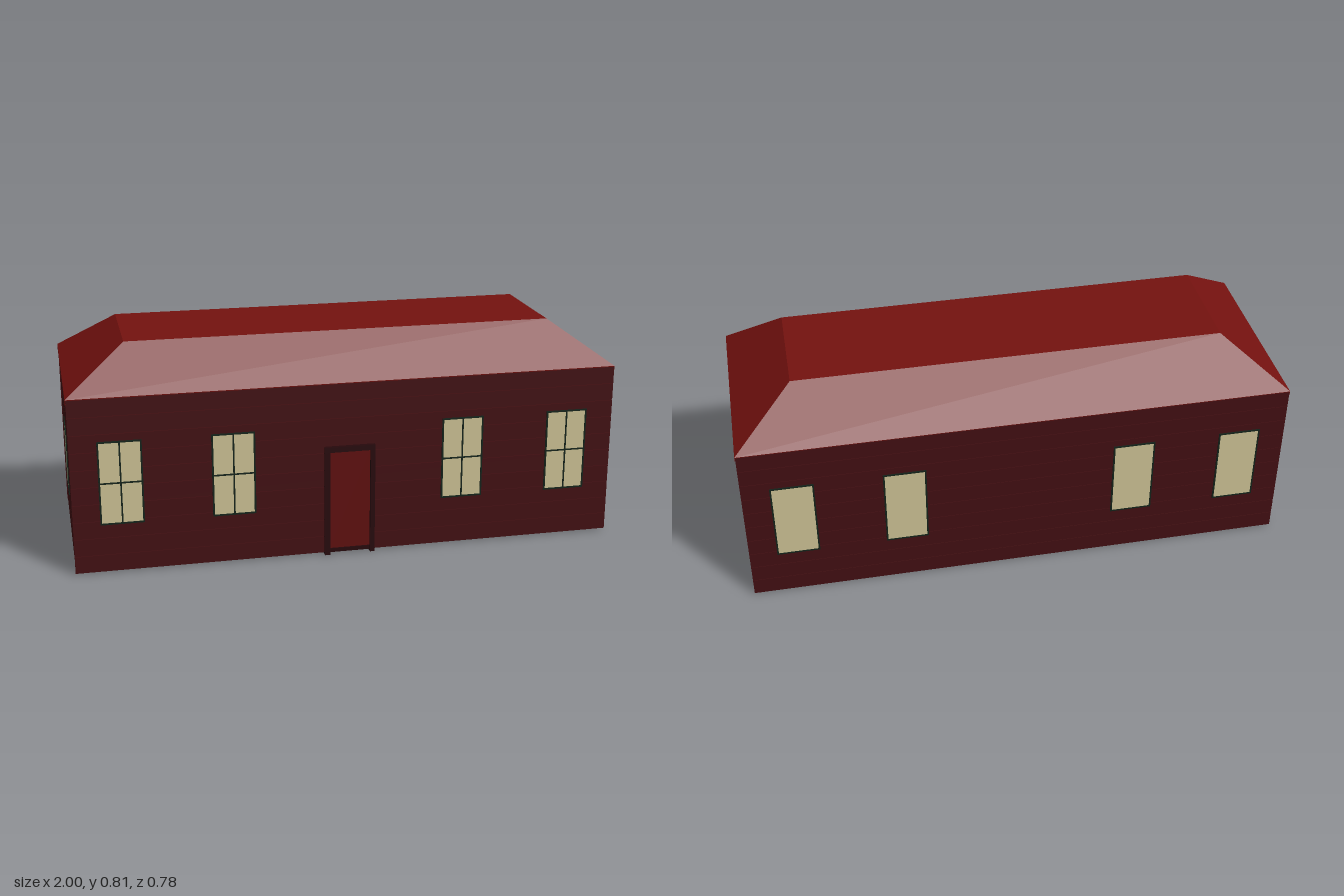
import * as THREE from 'three';

const mat = (color) => new THREE.MeshStandardMaterial({ color, flatShading: true });
const wallMat = mat(0x420f12);
const roofMat = mat(0x75120f);
const doorMat = mat(0x5f0f0e);
const doorFrameMat = mat(0x27090c);
const paneMat = mat(0xcdc295);
const frameMat = mat(0x14231a);

const FRONT = 0.373, BACK = -0.385; // outer faces of the long walls
const T = 0.011;                    // plank thickness

// Box given by its min and max corners
function box(name, material, [x0, y0, z0], [x1, y1, z1]) {
  const mesh = new THREE.Mesh(new THREE.BoxGeometry(x1 - x0, y1 - y0, z1 - z0), material);
  mesh.position.set((x0 + x1) / 2, (y0 + y1) / 2, (z0 + z1) / 2);
  mesh.name = name;
  return mesh;
}

// Horizontal boards with hairline gaps, on all four sides
function buildWalls() {
  const walls = new THREE.Group();
  walls.name = 'plankWalls';
  const rows = 10, pitch = 0.0643, gap = 0.002, base = 0.006;
  for (let i = 0; i < rows; i++) {
    const y0 = base + i * pitch, y1 = y0 + pitch - gap;
    const endTop = Math.min(y1, 0.631);
    walls.add(box('frontPlank', wallMat, [-0.998, y0, FRONT - T], [0.998, y1, FRONT]));
    walls.add(box('backPlank', wallMat, [-0.998, y0, BACK], [0.998, y1, BACK + T]));
    for (const x of [-0.996, 0.996 - T]) {
      walls.add(box('endPlank', wallMat, [x, y0, BACK + T], [x + T, endTop, FRONT - T]));
    }
  }
  return walls;
}

// Hipped roof with a flat top and a short vertical skirt
function buildRoof() {
  const geo = new THREE.BoxGeometry(2, 2, 2, 1, 2, 1);
  const p = geo.attributes.position;
  const levels = [
    { y: 0.631, x: 1, front: 0.369, back: -0.382 },
    { y: 0.65, x: 1, front: 0.371, back: -0.385 },
    { y: 0.805, x: 0.783, front: 0.22, back: -0.19 },
  ];
  for (let i = 0; i < p.count; i++) {
    const l = levels[Math.round(p.getY(i)) + 1];
    p.setXYZ(i, p.getX(i) * l.x, l.y, p.getZ(i) > 0 ? l.front : l.back);
  }
  geo.computeVertexNormals();
  const roof = new THREE.Mesh(geo, roofMat);
  roof.name = 'roof';
  return roof;
}

// Frame with a rectangular opening, centred, extruded along z
function buildFrame(w, h, border, depth, material) {
  const rect = (Ctor, a, b) => new Ctor([
    new THREE.Vector2(-a, -b), new THREE.Vector2(a, -b),
    new THREE.Vector2(a, b), new THREE.Vector2(-a, b),
  ]);
  const shape = rect(THREE.Shape, w / 2, h / 2);
  shape.holes.push(rect(THREE.Path, w / 2 - border, h / 2 - border));
  const geo = new THREE.ExtrudeGeometry(shape, { depth, bevelEnabled: false });
  geo.translate(0, 0, -depth / 2);
  return new THREE.Mesh(geo, material);
}

// Window with glazing bars on its +z side only
function buildWindow(w, h, border) {
  const win = new THREE.Group();
  win.name = 'window';
  const frame = buildFrame(w, h, border, 0.018, frameMat);
  frame.name = 'windowFrame';
  const a = w / 2 - border, b = h / 2 - border, r = 0.0028;
  win.add(
    frame,
    box('pane', paneMat, [-a, -b, -0.008], [a, b, 0.007]),
    box('verticalBar', frameMat, [-r, -b, 0.006], [r, b, 0.009]),
    box('horizontalBar', frameMat, [-a, -r, 0.006], [a, r, 0.009]),
  );
  return win;
}

function buildWindows() {
  const windows = new THREE.Group();
  windows.name = 'windows';
  for (const z of [FRONT - T / 2, BACK + T / 2]) {
    for (const x of [-0.824, -0.425, 0.42, 0.82]) {
      const win = buildWindow(0.156, 0.309, 0.006);
      win.position.set(x, 0.338, z);
      windows.add(win);
    }
  }
  for (const side of [-1, 1]) {
    const win = buildWindow(0.187, 0.247, 0.009);
    win.rotation.y = Math.PI / 2;
    win.position.set(side * (0.996 - T / 2), 0.323, 0);
    windows.add(win);
  }
  return windows;
}

// Entrance: slab, projecting frame and sill
function buildDoor() {
  const door = new THREE.Group();
  door.name = 'door';
  const x0 = -0.097, x1 = 0.089, z0 = 0.358, z1 = 0.388;
  door.add(
    box('doorSlab', doorMat, [-0.079, 0.022, 0.36], [0.073, 0.396, 0.378]),
    box('doorSill', doorFrameMat, [-0.079, 0.008, z0], [0.073, 0.023, 0.382]),
    box('doorLintel', doorFrameMat, [x0, 0.396, z0], [x1, 0.416, z1]),
    box('doorJamb', doorFrameMat, [x0, 0, z0], [-0.078, 0.396, z1]),
    box('doorJamb', doorFrameMat, [0.072, 0, z0], [x1, 0.396, z1]),
  );
  return door;
}

export function createModel() {
  const house = new THREE.Group();
  house.name = 'house';
  house.add(buildWalls(), buildRoof(), buildWindows(), buildDoor());
  return house;
}
